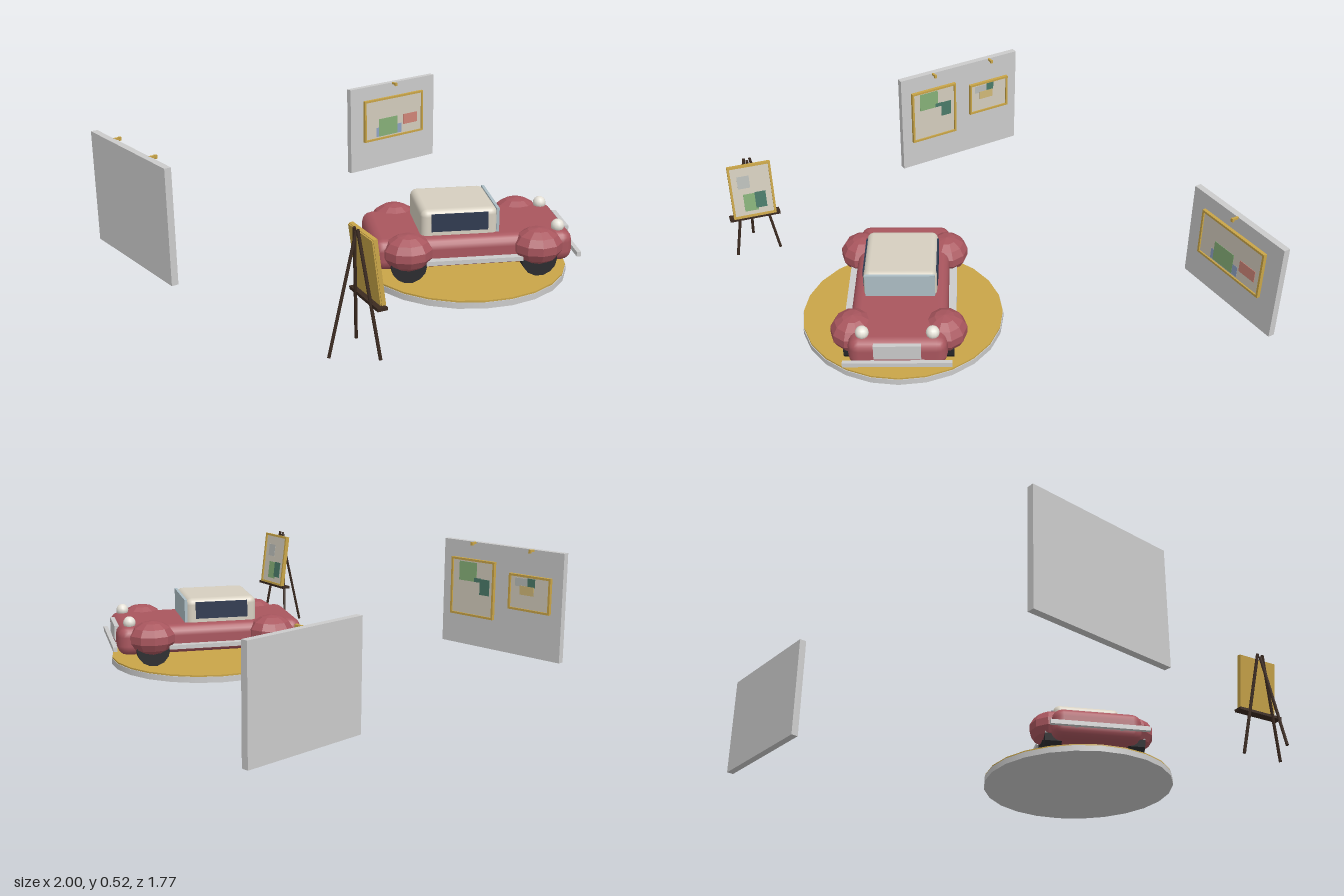
import * as THREE from 'three';
import { RoundedBoxGeometry } from 'three/addons/geometries/RoundedBoxGeometry.js';

const mat = (color, flatShading = false) => new THREE.MeshStandardMaterial({ color, flatShading });
const M = {
  grey: mat(0xcccccc), gold: mat(0xc9a548), red: mat(0xa9565e), redFlat: mat(0xa9565e, true),
  tyre: mat(0x2b2b2e, true), cream: mat(0xd6cfc0), glass: mat(0x2f3a50), windshield: mat(0xaebfc6),
  chrome: mat(0xc4c6c8), lamp: mat(0xe6e2d8), wood: mat(0x3b2a20), canvas: mat(0xd3ccbd),
  green: mat(0x86b078), teal: mat(0x4a7a68), tan: mat(0xd0b878), pale: mat(0xb9bcb8),
  rose: mat(0xcf8578), blue: mat(0x8fa3c4),
};

function add(parent, name, geometry, material, x = 0, y = 0, z = 0) {
  const mesh = new THREE.Mesh(geometry, material);
  mesh.name = name;
  mesh.position.set(x, y, z);
  parent.add(mesh);
  return mesh;
}

const box = (parent, name, material, w, h, d, x, y, z) =>
  add(parent, name, new THREE.BoxGeometry(w, h, d), material, x, y, z);

function group(parent, name, x = 0, y = 0, z = 0, turn = 0) {
  const g = new THREE.Group();
  g.name = name;
  g.position.set(x, y, z);
  g.rotation.y = turn;
  parent.add(g);
  return g;
}

// Straight round bar between two points
function bar(parent, name, a, b, r, material) {
  const from = new THREE.Vector3(...a), to = new THREE.Vector3(...b);
  const dir = to.clone().sub(from);
  const mesh = add(parent, name, new THREE.CylinderGeometry(r, r, dir.length(), 6), material);
  mesh.position.copy(from).add(to).multiplyScalar(0.5);
  mesh.quaternion.setFromUnitVectors(new THREE.Vector3(0, 1, 0), dir.normalize());
}

// Framed canvas facing +z; patches are [material, x0, x1, y0, y1] from its centre
function painting(parent, x, y, w, h, patches) {
  const p = group(parent, 'painting', x, y, 0);
  const t = 0.01;
  for (const s of [-1, 1]) {
    box(p, 'frameSide', M.gold, t, h, 0.016, s * (w - t) / 2, 0, 0.008);
    box(p, 'frameRail', M.gold, w, t, 0.016, 0, s * (h - t) / 2, 0.008);
  }
  box(p, 'canvas', M.canvas, w - t, h - t, 0.009, 0, 0, 0.0045);
  patches.forEach(([m, x0, x1, y0, y1], i) => box(p, 'colourPatch', m, x1 - x0, y1 - y0,
    0.002 + i * 0.0012, (x0 + x1) / 2, (y0 + y1) / 2, 0.009));
  return p;
}

// Wall panel whose front surface lies on local z = 0
function wall(parent, name, x0, x1, top, lamps) {
  box(parent, name, M.grey, x1 - x0, top - 0.015, 0.03, (x0 + x1) / 2, (top + 0.015) / 2, -0.015);
  for (const x of lamps) {
    box(parent, 'pictureLampArm', M.gold, 0.01, 0.01, 0.03, x, top - 0.004, 0.013);
    box(parent, 'pictureLampHead', M.gold, 0.012, 0.016, 0.01, x, top - 0.006, 0.027);
  }
}

function buildCar(parent) {
  const car = group(parent, 'car', 0.09, 0, 0.418, Math.PI / 3);

  // Body and cabin
  add(car, 'body', new RoundedBoxGeometry(0.4, 0.13, 0.835, 2, 0.045), M.red, 0, 0.145, 0.003);
  add(car, 'cabin', new RoundedBoxGeometry(0.305, 0.145, 0.32, 3, 0.028), M.cream, 0, 0.244, -0.05);
  box(car, 'windshield', M.windshield, 0.29, 0.105, 0.012, 0, 0.26, 0.11);

  // Parts on both sides
  const fender = new THREE.SphereGeometry(1, 10, 7).scale(0.094, 0.076, 0.104);
  const wheel = new THREE.CylinderGeometry(0.074, 0.074, 0.075, 14).rotateZ(Math.PI / 2);
  const hub = new THREE.CylinderGeometry(0.034, 0.034, 0.082, 12).rotateZ(Math.PI / 2);
  for (const s of [-1, 1]) {
    for (const z of [-0.27, 0.27]) {
      add(car, 'fender', fender, M.redFlat, s * 0.187, 0.159, z);
      add(car, 'wheel', wheel, M.tyre, s * 0.187, 0.111, z);
      add(car, 'hub', hub, M.tyre, s * 0.187, 0.111, z);
    }
    box(car, 'runningBoard', M.chrome, 0.05, 0.018, 0.4, s * 0.208, 0.12, 0);
    box(car, 'sideWindow', M.glass, 0.012, 0.075, 0.235, s * 0.15, 0.264, -0.05);
    add(car, 'headlight', new THREE.SphereGeometry(0.028, 12, 8), M.lamp, s * 0.141, 0.222, 0.364);
    box(car, 'bumper', M.chrome, 0.44, 0.02, 0.018, 0, 0.121, s * 0.437);
    for (const x of [-0.1, 0.1])
      box(car, 'bumperBracket', M.chrome, 0.015, 0.012, 0.03, x, 0.121, s * 0.42);
  }
  box(car, 'grille', M.chrome, 0.19, 0.066, 0.02, 0, 0.167, 0.416);
}

function buildEasel(parent) {
  const easel = group(parent, 'easel', -0.735, 0, 0.763, 1.38);
  for (const s of [-1, 1])
    bar(easel, 'frontLeg', [s * 0.1, 0, 0.045], [s * 0.013, 0.478, 0], 0.007, M.wood);
  bar(easel, 'rearLeg', [0, 0, -0.113], [0, 0.465, 0], 0.007, M.wood);
  box(easel, 'tray', M.wood, 0.23, 0.012, 0.04, 0, 0.203, 0.046);

  // Leaning canvas with a gold back panel
  const board = painting(easel, 0, 0.335, 0.195, 0.258, [
    [M.pale, -0.06, -0.005, 0.015, 0.075],
    [M.green, -0.042, 0.02, -0.1, -0.015],
    [M.teal, 0.01, 0.06, -0.09, -0.012],
  ]);
  board.position.z = 0.036;
  board.rotation.x = -0.13;
  box(board, 'backPanel', M.gold, 0.19, 0.253, 0.006, 0, 0, -0.002);
}

export function createModel() {
  const model = new THREE.Group();
  model.name = 'carExhibit';

  // Turntable
  add(model, 'turntableBase', new THREE.CylinderGeometry(0.433, 0.433, 0.026, 24), M.grey, 0.09, 0.016, 0.417);
  add(model, 'turntableTop', new THREE.CylinderGeometry(0.43, 0.43, 0.008, 24), M.gold, 0.09, 0.032, 0.417);

  buildCar(model);
  buildEasel(model);

  // Side wall, facing +x
  const side = group(model, 'sideWall', -0.97, 0, 0, Math.PI / 2);
  wall(side, 'sidePanel', 0.138, 0.805, 0.518, [0.318, 0.642]);
  painting(side, 0.316, 0.298, 0.25, 0.277, [
    [M.green, -0.08, 0.022, 0.03, 0.122],
    [M.teal, 0.008, 0.048, 0.03, 0.05],
    [M.teal, 0.042, 0.097, -0.028, 0.048],
  ]);
  painting(side, 0.637, 0.314, 0.225, 0.168, [
    [M.pale, -0.08, -0.01, 0.028, 0.066],
    [M.teal, -0.012, 0.028, 0.03, 0.07],
    [M.tan, -0.053, 0.023, -0.01, 0.032],
  ]);

  // Back wall, facing +z
  const back = group(model, 'backWall', 0, 0, -0.848);
  wall(back, 'backPanel', 0.44, 1, 0.462, [0.717]);
  painting(back, 0.717, 0.28, 0.392, 0.222, [
    [M.blue, -0.117, 0.053, -0.095, -0.045],
    [M.green, -0.1, 0.023, -0.095, 0],
    [M.rose, 0.063, 0.158, -0.055, 0],
  ]);

  return model;
}
